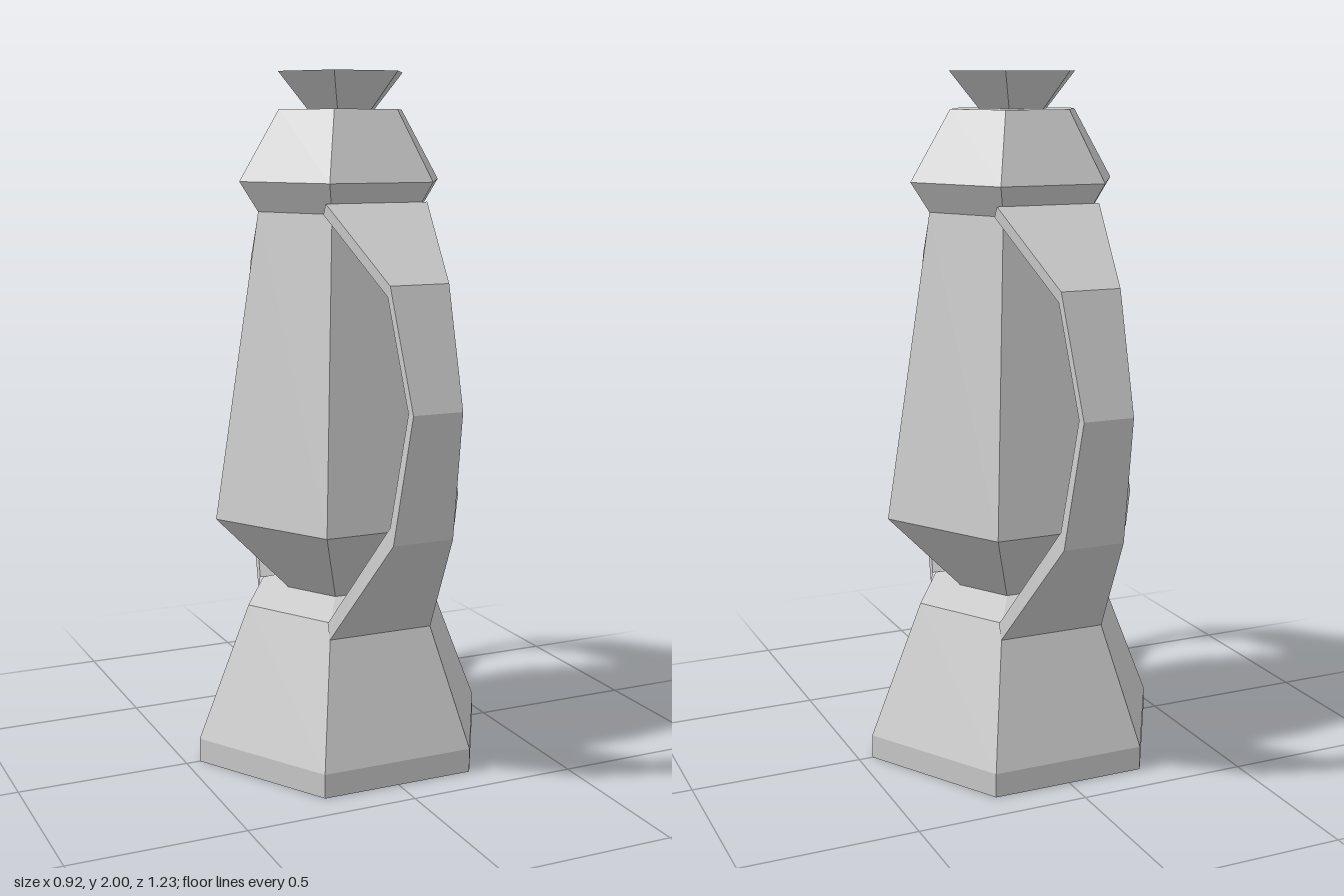
import * as THREE from 'three';

const material = new THREE.MeshStandardMaterial({ color: 0xcccccc, flatShading: true });

// Six-sided turned part with corners on the x axis; profile is [radius, y] from bottom to top
function hexPart(name, profile) {
  const points = profile.map(([r, y]) => new THREE.Vector2(r, y));
  const mesh = new THREE.Mesh(new THREE.LatheGeometry(points, 6, Math.PI / 2), material);
  mesh.name = name;
  return mesh;
}

// Curved band swept through rectangular sections: [half width, outer z, outer y, inner z, inner y]
function bandGeometry(sections) {
  const positions = [];
  const index = [];
  sections.forEach(([w, oz, oy, iz, iy], k) => {
    positions.push(-w, oy, oz, w, oy, oz, w, iy, iz, -w, iy, iz);
    if (k === sections.length - 1) return;
    for (let j = 0; j < 4; j++) {
      const a = k * 4 + j;
      const b = k * 4 + (j + 1) % 4;
      index.push(a, a + 4, b + 4, a, b + 4, b);
    }
  });
  const geometry = new THREE.BufferGeometry();
  geometry.setAttribute('position', new THREE.Float32BufferAttribute(positions, 3));
  geometry.setIndex(index);
  geometry.computeVertexNormals();
  return geometry;
}

export function createModel() {
  const group = new THREE.Group();
  group.name = 'lantern';

  // Stacked hexagonal body
  group.add(
    hexPart('base', [[0, 0], [0.458, 0], [0.458, 0.07], [0.3, 0.46], [0.173, 0.5]]),
    hexPart('lampBody', [[0.173, 0.5], [0.397, 0.73], [0.258, 1.61]]),
    hexPart('cap', [[0.258, 1.61], [0.314, 1.695], [0.193, 1.895], [0.105, 1.895]]),
    hexPart('knob', [[0.105, 1.895], [0.195, 2], [0, 2]])
  );

  // Flaring side bands, front and back
  const band = bandGeometry([
    [0.155, 0.24, 1.64, 0.224, 1.61],
    [0.087, 0.502, 1.437, 0.487, 1.407],
    [0.073, 0.614, 1.11, 0.585, 1.11],
    [0.09, 0.536, 0.745, 0.515, 0.79],
    [0.16, 0.275, 0.415, 0.26, 0.46]
  ]);
  ['frontHandle', 'backHandle'].forEach((name, i) => {
    const handle = new THREE.Mesh(band, material);
    handle.name = name;
    handle.rotation.y = i * Math.PI;
    group.add(handle);
  });

  return group;
}
